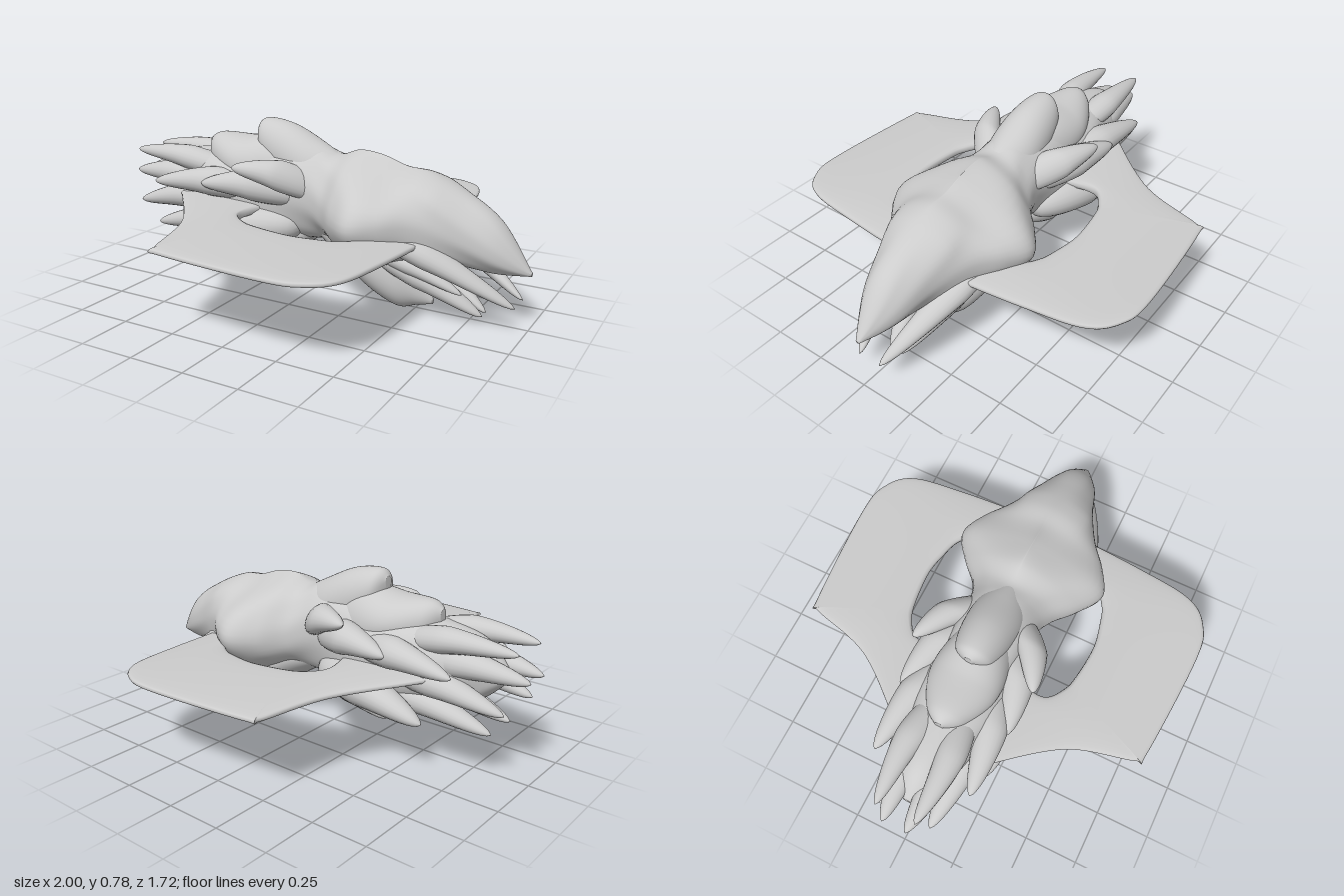
import * as THREE from 'three';

const material = new THREE.MeshStandardMaterial({ color: 0xcccccc, side: THREE.DoubleSide });
const { lerp } = THREE.MathUtils;
const spow = (v, e) => Math.sign(v) * Math.abs(v) ** e;

// Smooth interpolation of rows of numbers (Catmull-Rom in every column).
function sample(rows, count) {
  const out = [];
  for (let i = 0; i <= count; i++) {
    const f = (i / count) * (rows.length - 1);
    const k = Math.min(Math.floor(f), rows.length - 2), t = f - k;
    const at = (n) => rows[Math.max(0, Math.min(rows.length - 1, n))];
    out.push(rows[k].map((b, c) => {
      const a = at(k - 1)[c], d = at(k + 1)[c], e = at(k + 2)[c];
      return b + 0.5 * t * (d - a + t * (2 * a - 5 * b + 4 * d - e + t * (3 * (b - d) + e - a)));
    }));
  }
  return out;
}

// One ring of points, made by a function of the angle.
const ring = (n, point) => Array.from({ length: n }, (_, j) => point((j / n) * Math.PI * 2));

// Closed skin over a list of rings, capped at both ends and facing outward.
function skin(name, rings) {
  const n = rings[0].length, pts = rings.flat(), index = [];
  for (let i = 0; i < rings.length - 1; i++) {
    for (let j = 0; j < n; j++) {
      const a = i * n + j, b = i * n + ((j + 1) % n);
      index.push(a, b, a + n, b, b + n, a + n);
    }
  }
  const last = (rings.length - 1) * n;
  for (let j = 1; j < n - 1; j++) index.push(0, j + 1, j, last, last + j, last + j + 1);
  let volume = 0;
  for (let i = 0; i < index.length; i += 3) {
    const [a, b, c] = [pts[index[i]], pts[index[i + 1]], pts[index[i + 2]]];
    volume += a.dot(b.clone().cross(c));
  }
  if (volume < 0) index.reverse();
  const g = new THREE.BufferGeometry().setFromPoints(pts);
  g.setIndex(index);
  g.computeVertexNormals();
  const mesh = new THREE.Mesh(g, material);
  mesh.name = name;
  return mesh;
}

// Hull along x. Rows: x, top, widest height, bottom, half width.
// Wide sections are pinched into flanges, and the flanks ripple.
function hull(name, rows, ripple = 0) {
  return skin(name, sample(rows, 80).map(([x, top, mid, bot, w]) => {
    const pinch = 1 + 8 * Math.max(0, w - 0.19);
    return ring(56, (a) => {
      const s = Math.sin(a);
      const wave = 1 + ripple * Math.sin(x * 17 + s * 5) * Math.sin(a * 2) ** 2;
      const y = mid + (s > 0 ? top - mid : mid - bot) * s;
      return new THREE.Vector3(x, y, Math.max(w, 0.002) * spow(Math.cos(a), pinch) * wave);
    });
  }));
}

// Pointed horn from root to tip, bowed upward and outward.
function horn(name, side, [x0, y0, z0], [x1, y1, z1], radius) {
  const path = [[x0, y0, z0], [(x0 + x1) / 2, (y0 + y1) / 2 + 0.03, (z0 + z1) / 2 + 0.025], [x1, y1, z1]];
  return skin(name, sample(path, 24).map(([x, y, z], i) => {
    const u = i / 24;
    const r = radius * Math.sqrt(Math.min(1, 0.02 + u * 2.2)) * Math.max(0.015, (1 - u) ** 0.68);
    return ring(20, (a) => new THREE.Vector3(x, y + 0.85 * r * Math.sin(a), side * (z + r * Math.cos(a))));
  }));
}

// Thin looped wing, from rear root to front root. Rows: inner x, inner z, outer x, outer z.
const WING = [
  [-0.15, 0.08, -0.72, 0.10],
  [-0.20, 0.22, -0.60, 0.22],
  [-0.21, 0.32, -0.38, 0.50],
  [-0.14, 0.38, -0.29, 0.79],
  [-0.06, 0.405, -0.24, 0.825],
  [0.10, 0.42, 0.25, 0.86],
  [0.22, 0.40, 0.42, 0.83],
  [0.31, 0.37, 0.52, 0.72],
  [0.37, 0.30, 0.56, 0.46],
  [0.38, 0.08, 0.59, 0.10],
];

// The wing pitches up toward its rear root and flattens toward the tip.
function wing(side) {
  return skin('wing', sample(WING, 90).map(([xi, zi, xo, zo]) => ring(32, (a) => {
    const t = (1 - Math.cos(a)) / 2, x = lerp(xi, xo, t), z = lerp(zi, zo, t);
    const y = 0.37 + (0.02 - 0.07 * x) * (1 - z / 0.88);
    const half = lerp(0.032, 0.016, Math.sqrt(t));
    return new THREE.Vector3(x, y + half * spow(Math.sin(a), 0.45), side * z);
  })));
}

// Paired horns: name, root, tip, radius.
const HEAD_HORNS = [
  ['cheekFang', [0.32, 0.42, 0.20], [0.955, 0.11, 0.055], 0.105],
  ['jawFang', [0.32, 0.27, 0.08], [0.81, 0.035, 0.025], 0.11],
  ['jawBarb', [0.33, 0.28, 0.10], [0.74, 0.14, 0.09], 0.08],
];
const TAIL_HORNS = [
  ['shoulderHorn', [0.08, 0.48, 0.06], [-0.27, 0.60, 0.28], 0.12],
  ['flankHorn', [0.00, 0.46, 0.08], [-0.46, 0.50, 0.25], 0.13],
  ['rearFlankHorn', [-0.20, 0.46, 0.09], [-0.75, 0.47, 0.225], 0.12],
  ['bellyPod', [-0.02, 0.32, 0.10], [-0.62, 0.24, 0.22], 0.155],
  ['bellyBarb', [0.00, 0.28, 0.04], [-0.34, 0.13, 0.05], 0.13],
  ['lowerTailSpike', [-0.22, 0.30, 0.05], [-0.86, 0.215, 0.08], 0.12],
  ['sideTailSpike', [-0.35, 0.40, 0.09], [-0.93, 0.33, 0.12], 0.115],
  ['tailSpike', [-0.45, 0.44, 0.03], [-1.00, 0.46, 0.055], 0.115],
  ['upperTailSpike', [-0.38, 0.51, 0.05], [-0.96, 0.575, 0.09], 0.10],
];

export function createModel() {
  const model = new THREE.Group();
  model.name = 'organicFlyer';

  // Body and long head, with flared cheeks
  model.add(hull('body', [
    [-0.88, 0.47, 0.45, 0.42, 0.02],
    [-0.75, 0.58, 0.45, 0.31, 0.11],
    [-0.50, 0.62, 0.45, 0.22, 0.18],
    [-0.25, 0.65, 0.45, 0.22, 0.19],
    [0.00, 0.68, 0.46, 0.25, 0.165],
    [0.12, 0.65, 0.43, 0.26, 0.20],
    [0.22, 0.68, 0.42, 0.21, 0.29],
    [0.33, 0.67, 0.42, 0.15, 0.36],
    [0.44, 0.635, 0.43, 0.16, 0.31],
    [0.55, 0.62, 0.43, 0.20, 0.225],
    [0.70, 0.555, 0.39, 0.24, 0.15],
    [0.86, 0.45, 0.33, 0.23, 0.095],
    [1.00, 0.255, 0.25, 0.24, 0.01],
  ], 0.06));

  // Deep lower jaw
  model.add(hull('lowerJaw', [
    [0.03, 0.38, 0.33, 0.28, 0.08],
    [0.18, 0.40, 0.30, 0.19, 0.16],
    [0.31, 0.38, 0.22, 0.075, 0.17],
    [0.43, 0.30, 0.14, 0.005, 0.12],
    [0.51, 0.20, 0.10, 0.02, 0.065],
    [0.58, 0.06, 0.05, 0.035, 0.01],
  ]));

  // Two crests on the back, blunt at the rear and sinking into the spine
  model.add(hull('mainCrest', [
    [-0.295, 0.75, 0.73, 0.69, 0.02],
    [-0.25, 0.78, 0.68, 0.56, 0.085],
    [-0.12, 0.76, 0.62, 0.50, 0.115],
    [0.03, 0.69, 0.56, 0.48, 0.11],
    [0.20, 0.60, 0.50, 0.46, 0.04],
  ]));
  model.add(hull('rearCrest', [
    [-0.57, 0.66, 0.63, 0.59, 0.02],
    [-0.51, 0.69, 0.60, 0.52, 0.09],
    [-0.36, 0.69, 0.57, 0.46, 0.155],
    [-0.18, 0.70, 0.54, 0.46, 0.14],
    [0.05, 0.60, 0.50, 0.44, 0.06],
  ]));

  // Wings and paired horns on both sides
  for (const side of [1, -1]) {
    model.add(wing(side));
    for (const [name, root, tip, radius] of [...HEAD_HORNS, ...TAIL_HORNS]) {
      model.add(horn(name, side, root, tip, radius));
    }
  }
  return model;
}
